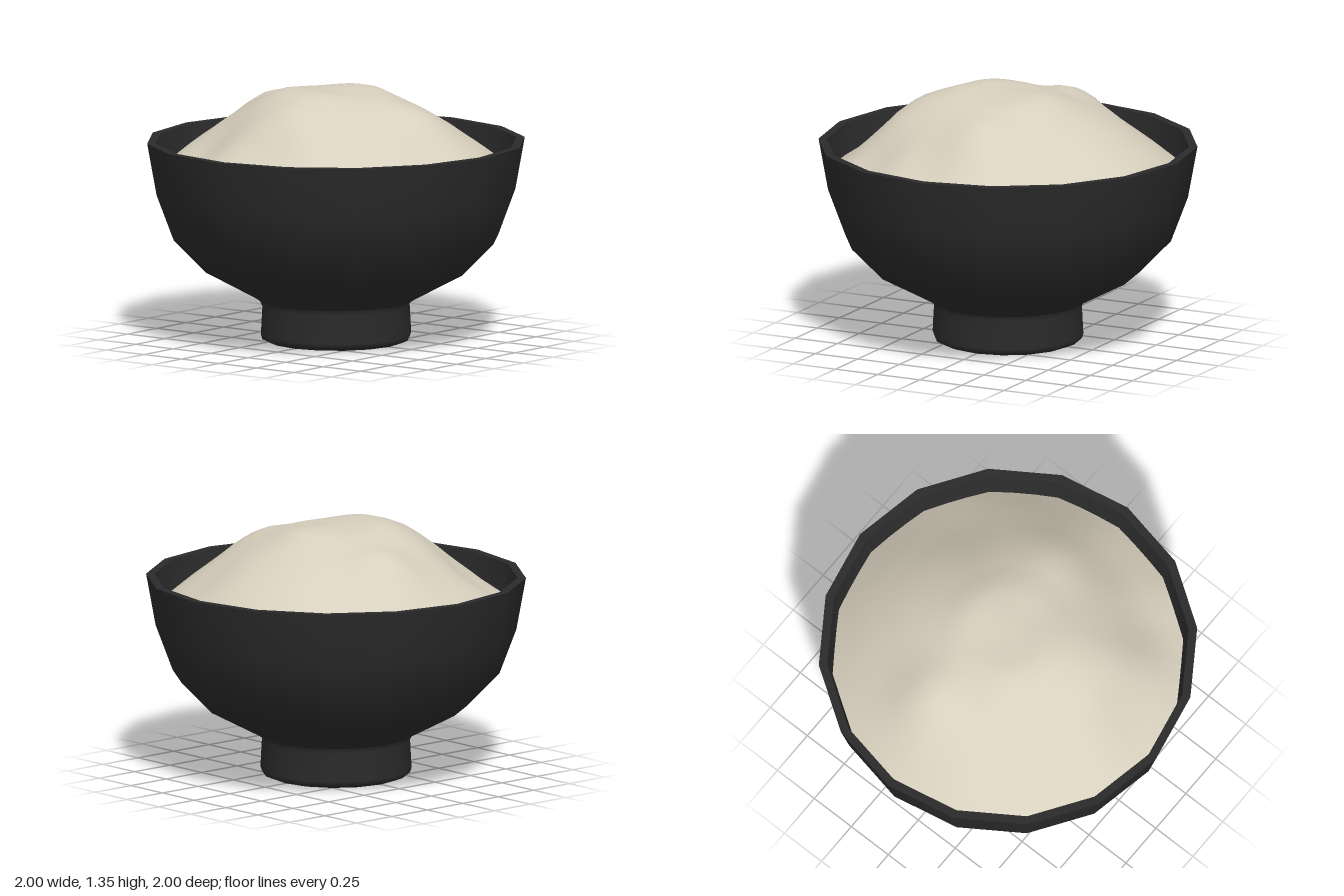
import * as THREE from 'three';

const SIDES = 16;

export function createModel() {
  const group = new THREE.Group();
  const bowlBlack = new THREE.MeshStandardMaterial({ color: 0x2b2b2b });
  bowlBlack.name = 'bowlBlack';
  const grainCream = new THREE.MeshStandardMaterial({ color: 0xd8d0be });
  grainCream.name = 'grainCream';

  const add = (name, geometry, material) => {
    const mesh = new THREE.Mesh(geometry, material);
    mesh.name = name;
    group.add(mesh);
  };
  const turned = (name, points) => add(name,
    new THREE.LatheGeometry(points.map(([r, y]) => new THREE.Vector2(r, y)), SIDES), bowlBlack);

  // Bowl: separate turned surfaces keep the rim and foot edges crisp
  turned('footBase', [[0, 0], [0.355, 0]]);
  turned('foot', [[0.355, 0], [0.39, 0.015], [0.398, 0.04], [0.39, 0.19], [0.402, 0.218]]);
  turned('bowlOutside', [[0.402, 0.218], [0.43, 0.236], [0.69, 0.375], [0.86, 0.55], [0.95, 0.79], [1, 1.065]]);
  turned('bowlRim', [[1, 1.065], [0.955, 1.065]]);
  turned('bowlInside', [[0.955, 1.065], [0.905, 0.79], [0.81, 0.57], [0.64, 0.42], [0.4, 0.3], [0, 0.27]]);

  // Heaped mound: a radial profile with soft bumps and hollows
  const profile = [[0, 1.325], [0.25, 1.315], [0.45, 1.235], [0.6, 1.155], [0.77, 1.04], [0.94, 0.9]];
  const bumps = [ // x, z, height, spread
    [0, -0.18, 0.025, 0.13], [-0.22, 0.24, 0.04, 0.16], [0.12, 0.28, 0.025, 0.14],
    [-0.56, -0.12, 0.08, 0.13], [0.53, -0.08, 0.05, 0.13], [0.05, 0.54, 0.05, 0.15],
    [-0.42, 0.58, -0.06, 0.14], [0.1, 0.75, -0.04, 0.12], [0.57, 0.52, -0.06, 0.14],
    [0.7, 0.12, -0.04, 0.13], [0.35, -0.62, -0.03, 0.14], [0.3, 0.5, 0.03, 0.13],
  ];
  const heightAt = (x, z) => {
    const r = Math.min(Math.hypot(x, z), 0.9399);
    const i = profile.findIndex(([pr]) => pr > r);
    const [r0, y0] = profile[i - 1], [r1, y1] = profile[i];
    let y = y0 + (y1 - y0) * (r - r0) / (r1 - r0);
    const fade = Math.min(1, (0.94 - r) / 0.12);
    for (const [bx, bz, h, s] of bumps) {
      y += fade * h * Math.exp(-((x - bx) ** 2 + (z - bz) ** 2) / (2 * s * s));
    }
    return y;
  };

  const rings = 14, around = 48, step = 2 * Math.PI / SIDES;
  const positions = [0, heightAt(0, 0), 0], index = [];
  for (let i = 1; i <= rings; i++) {
    for (let j = 0; j < around; j++) {
      const a = j / around * 2 * Math.PI;
      // Outer rings follow the bowl's straight-sided outline
      const flat = Math.cos(step / 2) / Math.cos((a % step) - step / 2);
      const t = i / rings;
      const r = 0.935 * t * (1 + (flat - 1) * t);
      const x = r * Math.sin(a), z = r * Math.cos(a);
      positions.push(x, heightAt(x, z), z);
      const k = (j + 1) % around;
      const outer = 1 + (i - 1) * around, inner = outer - around;
      if (i === 1) index.push(0, 1 + j, 1 + k);
      else index.push(inner + j, outer + j, outer + k, inner + j, outer + k, inner + k);
    }
  }
  const mound = new THREE.BufferGeometry();
  mound.setAttribute('position', new THREE.Float32BufferAttribute(positions, 3));
  mound.setIndex(index);
  mound.computeVertexNormals();
  add('grainMound', mound, grainCream);

  return group;
}
